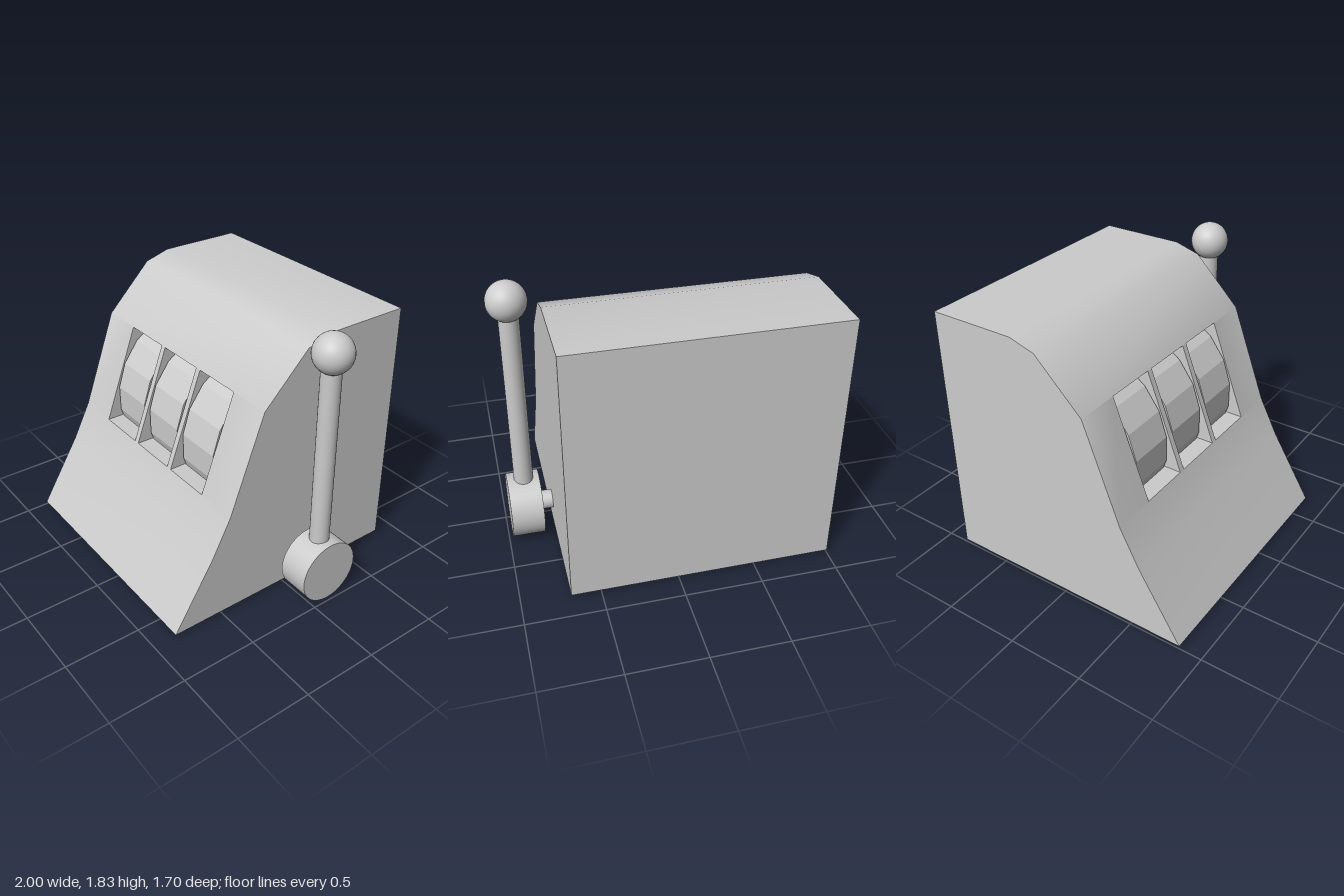
import * as THREE from 'three';
import { toCreasedNormals } from 'three/addons/utils/BufferGeometryUtils.js';

const material = new THREE.MeshStandardMaterial({ color: 0xcccccc });
const doubleSided = new THREE.MeshStandardMaterial({ color: 0xcccccc, side: THREE.DoubleSide });

const LEFT = -1, RIGHT = 0.69;
// Side profile as [z, y], from the front foot up and over to the back foot
const PROFILE = [[0.85, 0.02], [0.57, 0.47], [0.44, 0.72], [0.2, 1.36], [-0.11, 1.67], [-0.28, 1.72], [-0.85, 1.72], [-0.85, 0.02]];
const WINDOW_BAND = 2; // profile segment holding the windows
const WINDOWS = [[-0.71, -0.365], [-0.325, 0.02], [0.06, 0.4]];
const POCKET_Z = 0.08;

function createModel() {
  const model = new THREE.Group();
  const add = (name, geometry, x = 0, y = 0, z = 0, mat = material) => {
    const mesh = new THREE.Mesh(geometry, mat);
    mesh.name = name;
    mesh.position.set(x, y, z);
    model.add(mesh);
    return mesh;
  };

  // Cabinet shell: strips across the width plus recessed window pockets
  const positions = [];
  const quad = (a, b, c, d) => positions.push(...a, ...b, ...c, ...a, ...c, ...d);
  const strip = (x0, x1, [z0, y0], [z1, y1]) =>
    quad([x0, y0, z0], [x1, y0, z0], [x1, y1, z1], [x0, y1, z1]);

  PROFILE.forEach((p, i) => {
    const q = PROFILE[(i + 1) % PROFILE.length];
    if (i !== WINDOW_BAND) return strip(LEFT, RIGHT, p, q);
    // Posts between the windows
    const edges = [LEFT, ...WINDOWS.flat(), RIGHT];
    for (let k = 0; k < edges.length; k += 2) strip(edges[k], edges[k + 1], p, q);
    // Floor, back, ceiling and side walls of each pocket
    const low = [POCKET_Z, p[1]], high = [POCKET_Z, q[1]];
    for (const [x0, x1] of WINDOWS) {
      strip(x0, x1, p, low);
      strip(x0, x1, low, high);
      strip(x0, x1, high, q);
      const wall = (x) => [p, low, high, q].map(([z, y]) => [x, y, z]);
      quad(...wall(x0).reverse());
      quad(...wall(x1));
    }
  });
  const shell = new THREE.BufferGeometry();
  shell.setAttribute('position', new THREE.Float32BufferAttribute(positions, 3));
  shell.computeVertexNormals();
  add('cabinetShell', toCreasedNormals(shell, 0.6), 0, 0, 0, doubleSided);

  // Flat cabinet ends
  const outline = new THREE.Shape(PROFILE.map(([z, y]) => new THREE.Vector2(z, y)));
  for (const [name, x] of [['rightEnd', LEFT], ['leftEnd', RIGHT]]) {
    add(name, new THREE.ShapeGeometry(outline).rotateY(-Math.PI / 2), x, 0, 0, doubleSided);
  }

  // Faceted reels behind the windows; half a step of turn puts one facet upright
  const SIDES = 20;
  const reel = toCreasedNormals(
    new THREE.CylinderGeometry(0.559, 0.559, 0.317, SIDES, 1, false, Math.PI / SIDES)
      .rotateZ(Math.PI / 2), 0.1);
  WINDOWS.forEach(([x0, x1], i) => add(`reel${i + 1}`, reel, (x0 + x1) / 2, 0.867, -0.207));

  // Pull lever on the side
  const leverX = 0.87, leverZ = -0.127;
  add('leverAxle', new THREE.CylinderGeometry(0.062, 0.062, 0.12, 32).rotateZ(Math.PI / 2), 0.73, 0.212, leverZ);
  add('leverHub', new THREE.CylinderGeometry(0.21, 0.21, 0.21, 48).rotateZ(Math.PI / 2), leverX, 0.211, leverZ);
  add('leverRod', new THREE.CylinderGeometry(0.063, 0.063, 1.24, 32), leverX - 0.005, 1.02, leverZ);
  add('leverKnob', new THREE.SphereGeometry(0.125, 32, 24), leverX, 1.708, leverZ);

  return model;
}

export { createModel };
